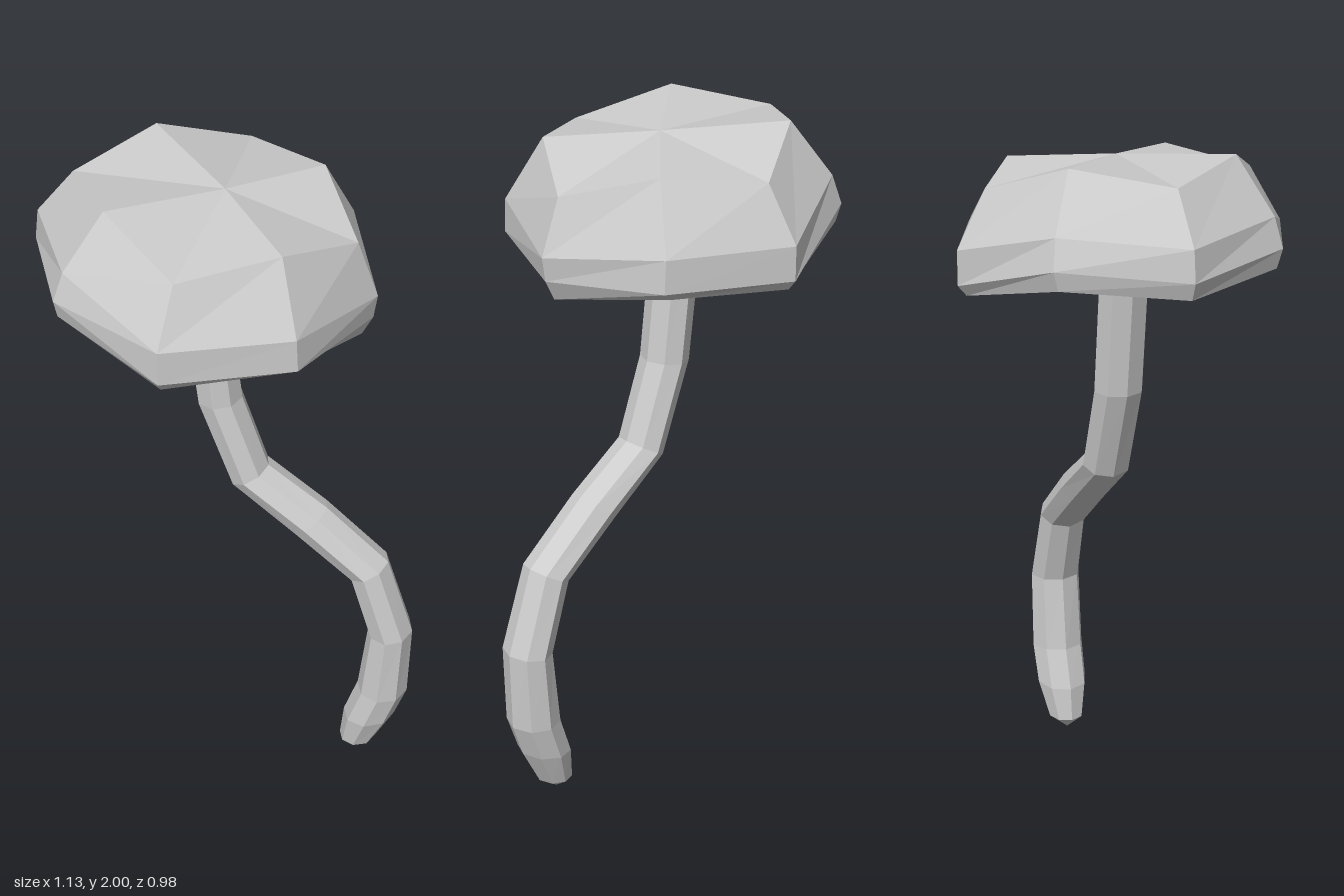
import * as THREE from 'three';

const SIDES = 8;

// Skin a stack of rings (listed top to bottom, each running +x -> +z -> -x) and close both ends on a centre point
function skin(name, rings, top, bottom, material) {
  const points = [top, ...rings.flat(), bottom];
  const last = points.length - 1;
  const at = (ring, i) => 1 + ring * SIDES + (i % SIDES);
  const index = [];
  for (let i = 0; i < SIDES; i++) {
    index.push(0, at(0, i + 1), at(0, i));
    for (let r = 0; r < rings.length - 1; r++) {
      const a = at(r, i), b = at(r, i + 1), c = at(r + 1, i + 1), d = at(r + 1, i);
      index.push(a, b, c, a, c, d);
    }
    index.push(last, at(rings.length - 1, i), at(rings.length - 1, i + 1));
  }
  const indexed = new THREE.BufferGeometry();
  indexed.setAttribute('position', new THREE.Float32BufferAttribute(points.flat(), 3));
  indexed.setIndex(index);
  const geometry = indexed.toNonIndexed();
  geometry.computeVertexNormals();
  const mesh = new THREE.Mesh(geometry, material);
  mesh.name = name;
  return mesh;
}

// Half a cap ring, from +x round the front to -x, mirrored to the back
function mirrorRing(half) {
  const back = half.slice(1, -1).reverse().map(([x, y, z]) => [x, y, -z]);
  return [...half, ...back];
}

// Octagonal stem ring spanning a left and a right point, with its own depth
function stemRing([lx, ly, rx, ry, depth]) {
  return Array.from({ length: SIDES }, (_, i) => {
    const a = (i / SIDES) * Math.PI * 2;
    const t = (1 + Math.cos(a)) / 2;
    return [lx + (rx - lx) * t, ly + (ry - ly) * t, depth * Math.sin(a)];
  });
}

export function createModel() {
  const group = new THREE.Group();
  group.name = 'mushroom';
  const material = new THREE.MeshStandardMaterial({ color: 0xcccccc, flatShading: true });

  // Cap: shoulder, upper rim, lower rim, tucked-in lip
  const capRings = [
    [[0.35, 1.86, 0], [0.2, 1.94, 0.245], [-0.05, 1.91, 0.4], [-0.285, 2, 0.245], [-0.45, 1.96, 0]],
    [[0.41, 1.7, 0], [0.265, 1.75, 0.34], [-0.07, 1.75, 0.49], [-0.38, 1.84, 0.32], [-0.56, 1.82, 0]],
    [[0.4, 1.63, 0], [0.27, 1.655, 0.34], [-0.07, 1.65, 0.49], [-0.405, 1.755, 0.335], [-0.57, 1.73, 0]],
    [[0.37, 1.57, 0], [0.22, 1.62, 0.31], [-0.07, 1.62, 0.465], [-0.4, 1.7, 0.32], [-0.55, 1.68, 0]],
  ].map(mirrorRing);
  group.add(skin('cap', capRings, [-0.02, 1.97, 0], [-0.08, 1.68, 0], material));

  // Stem: left x, y, right x, y and half depth of each ring
  const stemRings = [
    [-0.16, 1.72, -0.02, 1.72, 0.075],
    [-0.105, 1.28, 0.03, 1.29, 0.075],
    [0, 1, 0.11, 1.06, 0.075],
    [0.19, 0.85, 0.29, 0.935, 0.075],
    [0.365, 0.71, 0.48, 0.77, 0.075],
    [0.43, 0.505, 0.565, 0.515, 0.08],
    [0.405, 0.27, 0.56, 0.27, 0.083],
    [0.365, 0.145, 0.525, 0.165, 0.08],
    [0.355, 0.04, 0.465, 0.045, 0.055],
  ].map(stemRing);
  group.add(skin('stem', stemRings, [-0.09, 1.72, 0], [0.4, 0, 0], material));

  return group;
}
